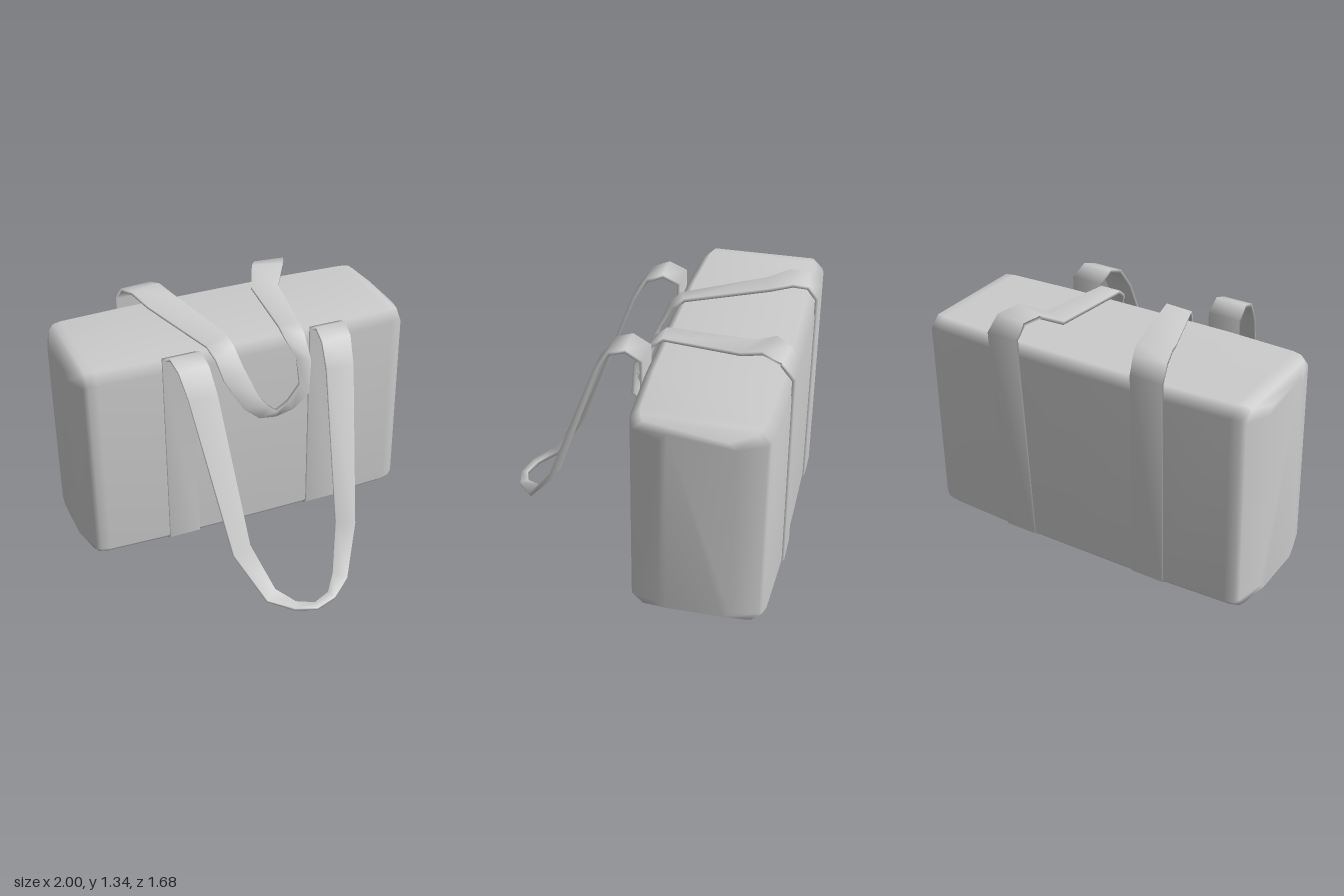
import * as THREE from 'three';

const material = new THREE.MeshStandardMaterial({ color: 0xcccccc });

// Skin a list of equal-length rings (counter-clockwise about the path) and cap both ends
function loft(rings, name) {
  const n = rings[0].length, last = (rings.length - 1) * n, index = [];
  for (let i = 0; i < rings.length - 1; i++) {
    for (let j = 0; j < n; j++) {
      const a = i * n + j, b = i * n + (j + 1) % n;
      index.push(a, b, a + n, b, b + n, a + n);
    }
  }
  for (let j = 1; j < n - 1; j++) {
    index.push(0, j + 1, j, last, last + j, last + j + 1);
  }
  const geometry = new THREE.BufferGeometry().setFromPoints(rings.flat());
  geometry.setIndex(index);
  geometry.computeVertexNormals();
  const mesh = new THREE.Mesh(geometry, material);
  mesh.name = name;
  return mesh;
}

// Flat strap; each row is centre x, y, z and the half-width vector to its outer edge
function strap(rows, name, thickness = 0.02) {
  const centres = rows.map(r => new THREE.Vector3(r[0], r[1], r[2]));
  const rings = rows.map((r, i) => {
    const c = centres[i], w = new THREE.Vector3(r[3], r[4], r[5]), t = new THREE.Vector3();
    if (i > 0) t.add(c.clone().sub(centres[i - 1]).normalize());
    if (i < rows.length - 1) t.add(centres[i + 1].clone().sub(c).normalize());
    const up = t.cross(w).setLength(thickness / 2);
    return [[1, 1], [-1, 1], [-1, -1], [1, -1]].map(([a, b]) =>
      c.clone().addScaledVector(w, a).addScaledVector(up, b));
  });
  return loft(rings, name);
}

// Chamfered rectangle across the bag at a given x
function bagSection(x, hy, hz, c) {
  return [
    [hy, hz - c], [hy - c, hz], [c - hy, hz], [-hy, hz - c],
    [-hy, c - hz], [c - hy, -hz], [hy - c, -hz], [hy, c - hz],
  ].map(([y, z]) => new THREE.Vector3(x, 0.6 + y, z - 0.4425));
}

export function createModel() {
  const model = new THREE.Group();
  model.name = 'duffelBag';

  // Bag body, bulging slightly and tapering at both ends
  const half = [
    [0.5, 0.6, 0.382, 0.055], [0.88, 0.6, 0.365, 0.055], [0.93, 0.6, 0.35, 0.055],
    [0.955, 0.582, 0.335, 0.055], [1, 0.55, 0.19, 0.04],
  ];
  const sections = [
    ...half.map(([x, ...s]) => [-x, ...s]).reverse(),
    [0, 0.6, 0.384, 0.055],
    ...half,
  ];
  model.add(loft(sections.map(s => bagSection(...s)), 'bagBody'));

  // Front strap: up the front face, then hanging forward in a loop
  const frontHalf = [
    [0.435, 0.025, -0.09, 0.09, 0, 0],
    [0.435, 0.06, -0.046, 0.09, 0, 0],
    [0.435, 1.24, -0.05, 0.09, 0, 0],
    [0.425, 1.285, 0.04, 0.088, 0, 0],
    [0.415, 1.25, 0.13, 0.085, 0, 0],
    [0.4, 1.125, 0.215, 0.08, 0, 0],
    [0.315, 0.3, 0.52, 0.053, -0.01, 0.015],
    [0.21, 0.07, 0.68, 0.033, -0.012, 0.024],
    [0.11, 0.04, 0.78, 0.012, -0.005, 0.021],
  ];
  model.add(strap([
    ...frontHalf,
    [0, 0.028, 0.815, 0, -0.004, 0.02],
    ...frontHalf.map(([x, y, z, a, b, c]) => [-x, y, z, -a, b, c]).reverse(),
  ], 'frontStrap'));

  // Back strap: up the back face, over the top and drooping down the front
  model.add(strap([
    [-0.435, 0.03, -0.79, -0.09, 0, 0],
    [-0.435, 0.06, -0.83, -0.09, 0, 0],
    [-0.435, 1.24, -0.83, -0.09, 0, 0],
    [-0.42, 1.315, -0.77, -0.09, 0, 0.01],
    [-0.39, 1.335, -0.68, -0.09, 0, 0.02],
    [-0.345, 1.305, -0.56, -0.085, -0.01, 0.02],
    [-0.19, 1.25, -0.11, -0.065, -0.015, 0.02],
    [-0.168, 1.2, -0.05, -0.06, -0.02, 0.02],
    [-0.14, 1.09, 0.01, -0.06, -0.025, 0.01],
    [-0.06, 0.92, 0.06, -0.045, -0.03, 0],
    [0.02, 0.835, 0.05, -0.025, -0.035, -0.005],
    [0.1, 0.8, 0.04, 0, -0.02, -0.005],
    [0.185, 0.835, 0.045, 0.02, -0.03, -0.005],
    [0.265, 0.93, 0.055, 0.028, -0.035, 0],
    [0.275, 1.1, 0.02, 0.038, -0.01, 0.02],
    [0.25, 1.21, -0.05, 0.058, 0, 0.005],
    [0.242, 1.255, -0.11, 0.06, 0, 0],
    [0.295, 1.265, -0.56, 0.075, 0, 0.025],
    [0.365, 1.335, -0.68, 0.088, 0, 0.025],
    [0.415, 1.315, -0.77, 0.09, 0, 0.01],
    [0.43, 1.24, -0.83, 0.09, 0, 0],
    [0.385, 0.06, -0.83, 0.09, 0, 0],
    [0.385, 0.03, -0.79, 0.09, 0, 0],
  ], 'backStrap'));

  return model;
}
